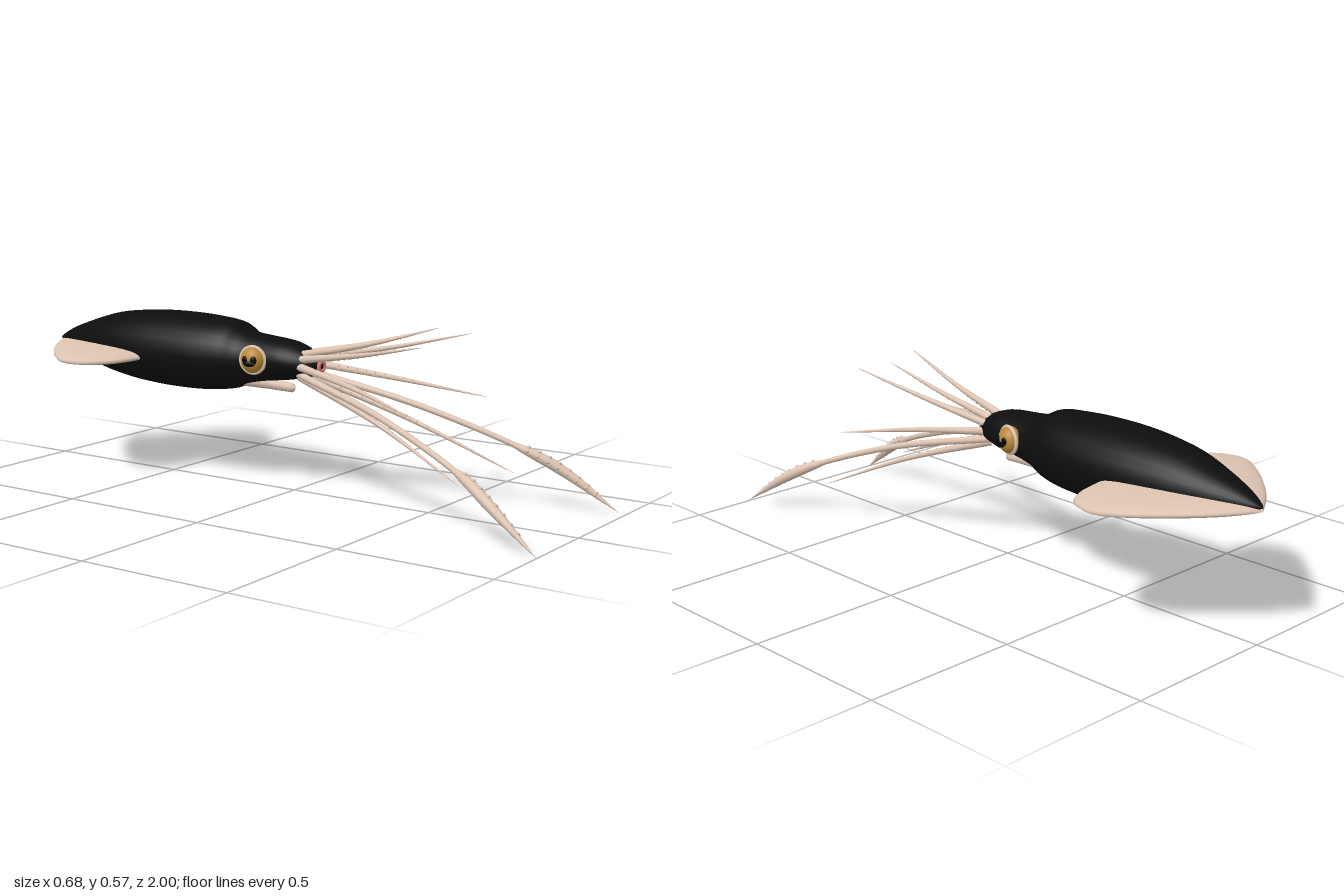
import * as THREE from 'three';
import { mergeGeometries } from 'three/addons/utils/BufferGeometryUtils.js';

const material = (name, color) => Object.assign(new THREE.MeshStandardMaterial({ color }), { name });

// Skin over closed rings of points; ring order and winding decide the outside.
function loft(rings) {
  const n = rings[0].length, index = [];
  for (let i = 0; i < rings.length - 1; i++) {
    for (let j = 0; j < n; j++) {
      const a = i * n + j, b = i * n + (j + 1) % n;
      index.push(a, a + n, b, b, a + n, b + n);
    }
  }
  const g = new THREE.BufferGeometry().setFromPoints(rings.flat());
  g.setIndex(index);
  g.computeVertexNormals();
  return g;
}

// Round limb along a curve with a radius rule.
function limb(curve, radius, steps = 36, sides = 10) {
  const f = curve.computeFrenetFrames(steps);
  const rings = [];
  for (let i = 0; i <= steps; i++) {
    const t = i / steps, p = curve.getPointAt(t), r = radius(t);
    rings.push(Array.from({ length: sides }, (_, j) => {
      const a = j / sides * Math.PI * 2;
      return p.clone().addScaledVector(f.normals[i], r * Math.cos(a))
        .addScaledVector(f.binormals[i], -r * Math.sin(a));
    }));
  }
  return loft(rings);
}

// Two rows of suckers on the side that faces the mouth axis.
function suckers(curve, radius, from, to, count, size) {
  const parts = [];
  for (let i = 0; i < count; i++) {
    const t = from + (to - from) * i / (count - 1);
    const p = curve.getPointAt(t), T = curve.getTangentAt(t), r = radius(t);
    const inward = new THREE.Vector3(-p.x, 0.41 - p.y, 0);
    inward.addScaledVector(T, -inward.dot(T)).normalize();
    const across = new THREE.Vector3().crossVectors(T, inward);
    for (const s of [-1, 1]) {
      const c = p.clone().addScaledVector(inward, r * 0.85).addScaledVector(across, s * r * 0.55);
      parts.push(new THREE.SphereGeometry(size(t), 7, 5).translate(c.x, c.y, c.z));
    }
  }
  return mergeGeometries(parts);
}

export function createModel() {
  const model = new THREE.Group();
  model.name = 'squid';
  const dark = material('dark skin', 0x0d0d0d);
  const pale = material('pale flesh', 0xdcc3b1);
  const gold = material('gold iris', 0xb98836);
  const black = material('black pupil', 0x050505);
  const pink = material('pink lips', 0xd47f7a);
  const add = (name, geometry, mat, parent = model) => {
    const m = new THREE.Mesh(geometry, mat);
    m.name = name;
    parent.add(m);
    return m;
  };

  // Head and mantle: z, half width, top y, bottom y
  const stations = [
    [0.105, 0.001, 0.414, 0.412], [0.1, 0.022, 0.432, 0.394], [0.07, 0.05, 0.457, 0.378],
    [0, 0.079, 0.484, 0.362], [-0.1, 0.087, 0.495, 0.348], [-0.17, 0.098, 0.504, 0.333],
    [-0.22, 0.12, 0.53, 0.313], [-0.3, 0.138, 0.54, 0.3], [-0.42, 0.147, 0.545, 0.295],
    [-0.57, 0.144, 0.541, 0.3], [-0.72, 0.12, 0.522, 0.32], [-0.85, 0.08, 0.483, 0.352],
    [-0.94, 0.041, 0.448, 0.382], [-0.985, 0.014, 0.423, 0.403], [-0.998, 0.001, 0.413, 0.411],
  ];
  const widthTop = new THREE.CatmullRomCurve3(stations.map(([z, w, top]) => new THREE.Vector3(w, top, z)));
  const widthBase = new THREE.CatmullRomCurve3(stations.map(([z, w, , base]) => new THREE.Vector3(w, base, z)));
  const bodyRings = [];
  for (let i = 0; i <= 56; i++) {
    const p = widthTop.getPoint(i / 56), q = widthBase.getPoint(i / 56);
    const cy = (p.y + q.y) / 2, ry = (p.y - q.y) / 2;
    bodyRings.push(Array.from({ length: 28 }, (_, j) => {
      const a = j / 28 * Math.PI * 2;
      return new THREE.Vector3(p.x * Math.cos(a), cy + ry * Math.sin(a), p.z);
    }));
  }
  add('body', loft(bodyRings), dark);

  // Lens-shaped fins, from the tail tip round to the front edge
  const outline = new THREE.CatmullRomCurve3([
    [0, -0.998], [0.1, -0.935], [0.2, -0.85], [0.28, -0.768], [0.33, -0.7],
    [0.342, -0.65], [0.32, -0.585], [0.26, -0.54], [0.19, -0.522], [0.12, -0.515],
  ].map(([x, z]) => new THREE.Vector3(x, 0, z)));
  for (const side of [1, -1]) {
    const rings = [];
    for (let i = 0; i <= 40; i++) {
      const t = i / 40, o = outline.getPoint(t), rootZ = -0.998 + 0.49 * t;
      const h = 0.021 * Math.sqrt(Math.max(0, Math.sin(Math.PI * t)));
      rings.push(Array.from({ length: 20 }, (_, j) => {
        const a = j / 20 * Math.PI * 2, s = (1 + Math.cos(a)) / 2;
        return new THREE.Vector3(side * o.x * s, 0.41 - 0.01 * s - side * h * Math.sin(a),
          rootZ + (o.z - rootZ) * s);
      }));
    }
    add(side > 0 ? 'leftFin' : 'rightFin', loft(rings), pale);
  }

  // Eyes: local +z looks outward
  for (const side of [1, -1]) {
    const eye = new THREE.Group();
    eye.name = side > 0 ? 'leftEye' : 'rightEye';
    eye.position.set(side * 0.087, 0.427, -0.097);
    eye.rotation.y = side * (Math.PI / 2 - 0.2);
    add('iris', new THREE.SphereGeometry(1, 28, 18), gold, eye).scale.set(0.041, 0.043, 0.035);
    add('eyelid', new THREE.TorusGeometry(0.042, 0.006, 8, 32), pale, eye).position.z = 0.004;
    // U-shaped pupil
    for (const [x, y, rx, ry] of [[-0.015, 0.003, 0.01, 0.013], [0.015, 0.003, 0.01, 0.013], [0, -0.009, 0.02, 0.009]]) {
      const blob = add('pupil', new THREE.SphereGeometry(1, 14, 10), black, eye);
      blob.scale.set(rx, ry, 0.004);
      blob.position.set(x, y, 0.035 * Math.sqrt(1 - (x / 0.041) ** 2 - (y / 0.043) ** 2) - 0.0005);
      blob.rotation.y = Math.asin(x / 0.041) * 0.8;
    }
    model.add(eye);
  }

  // Mouth
  add('lips', new THREE.TorusGeometry(0.015, 0.0065, 10, 28), pink).position.set(0, 0.413, 0.104);
  const beak = add('beak', new THREE.SphereGeometry(0.01, 12, 8), black);
  beak.position.set(0, 0.413, 0.1);

  // Siphon under the head
  const siphonPath = new THREE.CatmullRomCurve3([
    new THREE.Vector3(0, 0.345, -0.22), new THREE.Vector3(0, 0.34, -0.1), new THREE.Vector3(0, 0.333, 0.005)]);
  add('siphon', limb(siphonPath, t => t > 0.99 ? 0.001 : 0.024 - 0.01 * t, 20, 14), pale);

  // Eight arms: base x, base y, tip x, y, z
  const arms = [
    [-0.023, 0.447, -0.073, 0.569, 0.53], [0.022, 0.447, 0.065, 0.56, 0.49],
    [-0.038, 0.433, -0.135, 0.53, 0.55], [0.038, 0.433, 0.143, 0.54, 0.56],
    [-0.043, 0.415, -0.235, 0.34, 0.58], [0.043, 0.415, 0.225, 0.333, 0.57],
    [-0.027, 0.378, -0.168, 0.145, 0.7], [0.027, 0.378, 0.187, 0.115, 0.69],
  ];
  const armRadius = t => 0.0125 * Math.pow(1 - t, 0.8) + 0.0005;
  for (const [bx, by, tx, ty, tz] of arms) {
    const path = new THREE.CatmullRomCurve3([
      new THREE.Vector3(bx, by, 0.04),
      new THREE.Vector3(bx + (tx - bx) * 0.44, by + (ty - by) * 0.44, 0.04 + (tz - 0.04) * 0.5),
      new THREE.Vector3(tx, ty, tz)]);
    add('arm', limb(path, armRadius), pale);
    add('armSuckers', suckers(path, armRadius, 0.16, 0.9, 15, t => 0.0035 - 0.0024 * t), pale);
  }

  // Two long tentacles with clubbed ends
  const tentacleRadius = t => t < 0.66
    ? 0.0115 - 0.004 * t
    : 0.009 * (1 - t) / 0.34 + 0.011 * Math.sin(Math.PI * Math.pow((t - 0.66) / 0.34, 0.75)) + 0.0004;
  const tentacles = [
    [[-0.035, 0.388, 0.04], [-0.115, 0.3, 0.4], [-0.19, 0.18, 0.72], [-0.225, 0.12, 0.83], [-0.26, 0.002, 0.999]],
    [[0.035, 0.388, 0.04], [0.12, 0.3, 0.4], [0.215, 0.185, 0.71], [0.258, 0.125, 0.82], [0.3, 0.012, 0.985]],
  ];
  for (const points of tentacles) {
    const path = new THREE.CatmullRomCurve3(points.map(p => new THREE.Vector3(...p)));
    add('tentacle', limb(path, tentacleRadius, 60, 12), pale);
    add('clubSuckers', suckers(path, tentacleRadius, 0.69, 0.92, 8, t => 0.0105 - 0.0065 * t), pale);
  }
  return model;
}
